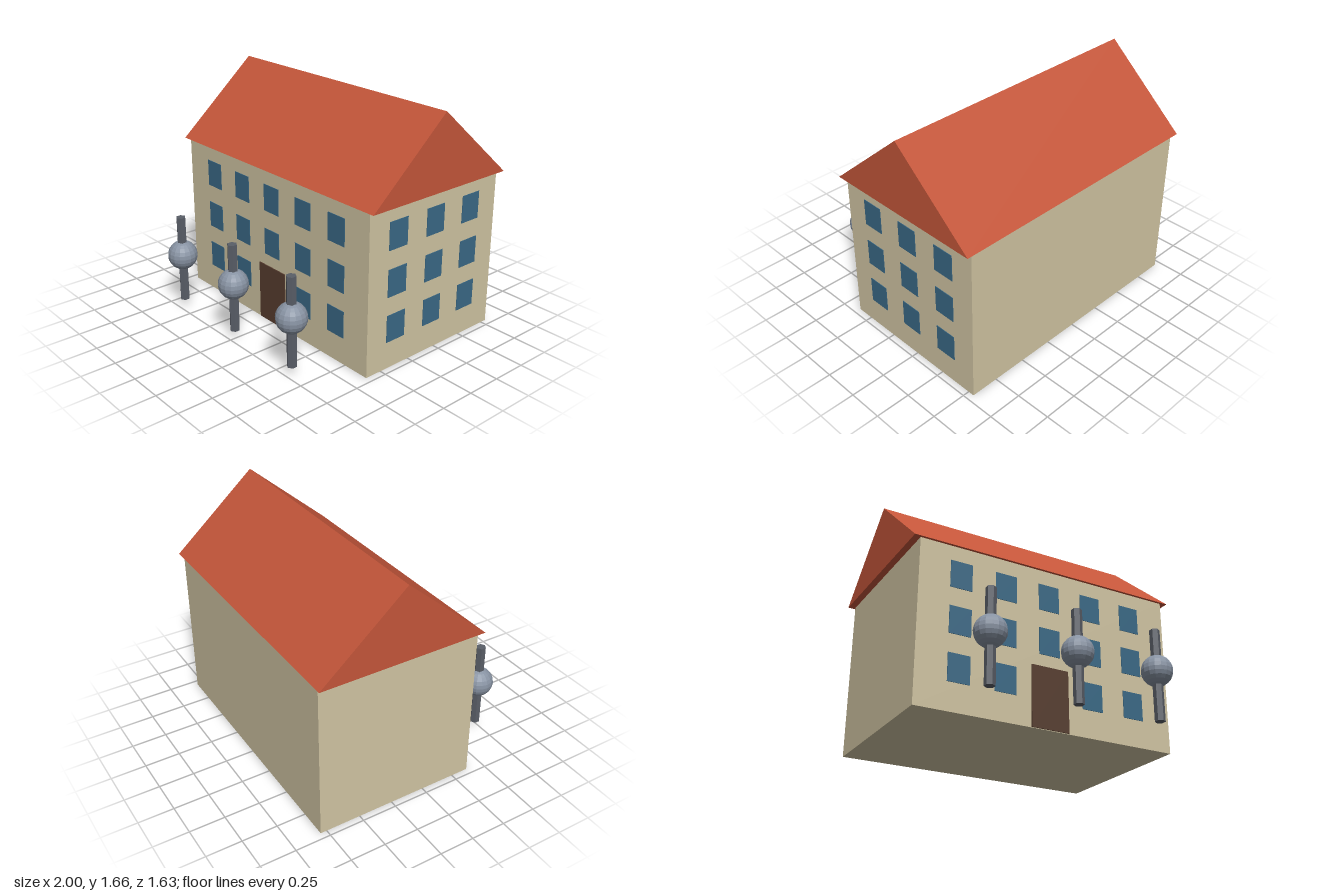
import * as THREE from 'three';

const paint = (name, color, flatShading = false) => {
  const m = new THREE.MeshStandardMaterial({ color, flatShading });
  m.name = name;
  return m;
};

export function createModel() {
  const model = new THREE.Group();
  model.name = 'house';

  const wallPaint = paint('wall cream', 0xd0c4a2);
  const roofPaint = paint('roof red', 0xc4563a);
  const glassPaint = paint('window blue', 0x3a6986);
  const doorPaint = paint('door brown', 0x573d2f);
  const postPaint = paint('post grey', 0x5a5f68, true);
  const globePaint = paint('globe grey', 0x8893a3, true);

  const add = (name, geometry, material, x, y, z, parent = model) => {
    const mesh = new THREE.Mesh(geometry, material);
    mesh.name = name;
    mesh.position.set(x, y, z);
    parent.add(mesh);
    return mesh;
  };

  const midZ = -0.21, halfX = 0.953, halfZ = 0.585, wallTop = 1.14;

  // Walls
  add('walls', new THREE.BoxGeometry(halfX * 2, wallTop, halfZ * 2), wallPaint, 0, wallTop / 2, midZ);

  // Gabled roof: a triangle in the z-y plane, extruded along x
  const gable = new THREE.Shape([
    new THREE.Vector2(-0.604, 0), new THREE.Vector2(0.604, 0), new THREE.Vector2(0, 0.525),
  ]);
  const roof = new THREE.ExtrudeGeometry(gable, { depth: 2, bevelEnabled: false });
  roof.translate(0, 0, -1).rotateY(Math.PI / 2);
  add('roof', roof, roofPaint, 0, wallTop, midZ);

  // Windows on the front and the left wall, three storeys
  const frontZ = midZ + halfZ;
  const frontPane = new THREE.BoxGeometry(0.156, 0.193, 0.008);
  const sidePane = new THREE.BoxGeometry(0.008, 0.193, 0.16);
  [0.29, 0.613, 0.937].forEach((y, storey) => {
    for (let i = -2; i <= 2; i++) {
      if (storey === 0 && i === 0) continue; // the door is here
      add('frontWindow', frontPane, glassPaint, i * 0.328, y, frontZ);
    }
    for (let i = -1; i <= 1; i++) {
      add('sideWindow', sidePane, glassPaint, halfX, y, midZ + i * 0.335);
    }
  });

  // Door
  add('door', new THREE.BoxGeometry(0.276, 0.427, 0.009), doorPaint, 0, 0.2175, frontZ + 0.003);

  // Row of posts, each with a globe
  const post = new THREE.CylinderGeometry(0.035, 0.035, 0.642, 6);
  const globe = new THREE.SphereGeometry(0.106, 16, 12);
  for (let i = -1; i <= 1; i++) {
    const lamp = new THREE.Group();
    lamp.name = 'lamp';
    lamp.position.set(i * 0.616, 0, 0.71);
    add('post', post, postPaint, 0, 0.389, 0, lamp);
    add('globe', globe, globePaint, 0, 0.418, 0, lamp);
    model.add(lamp);
  }

  return model;
}
